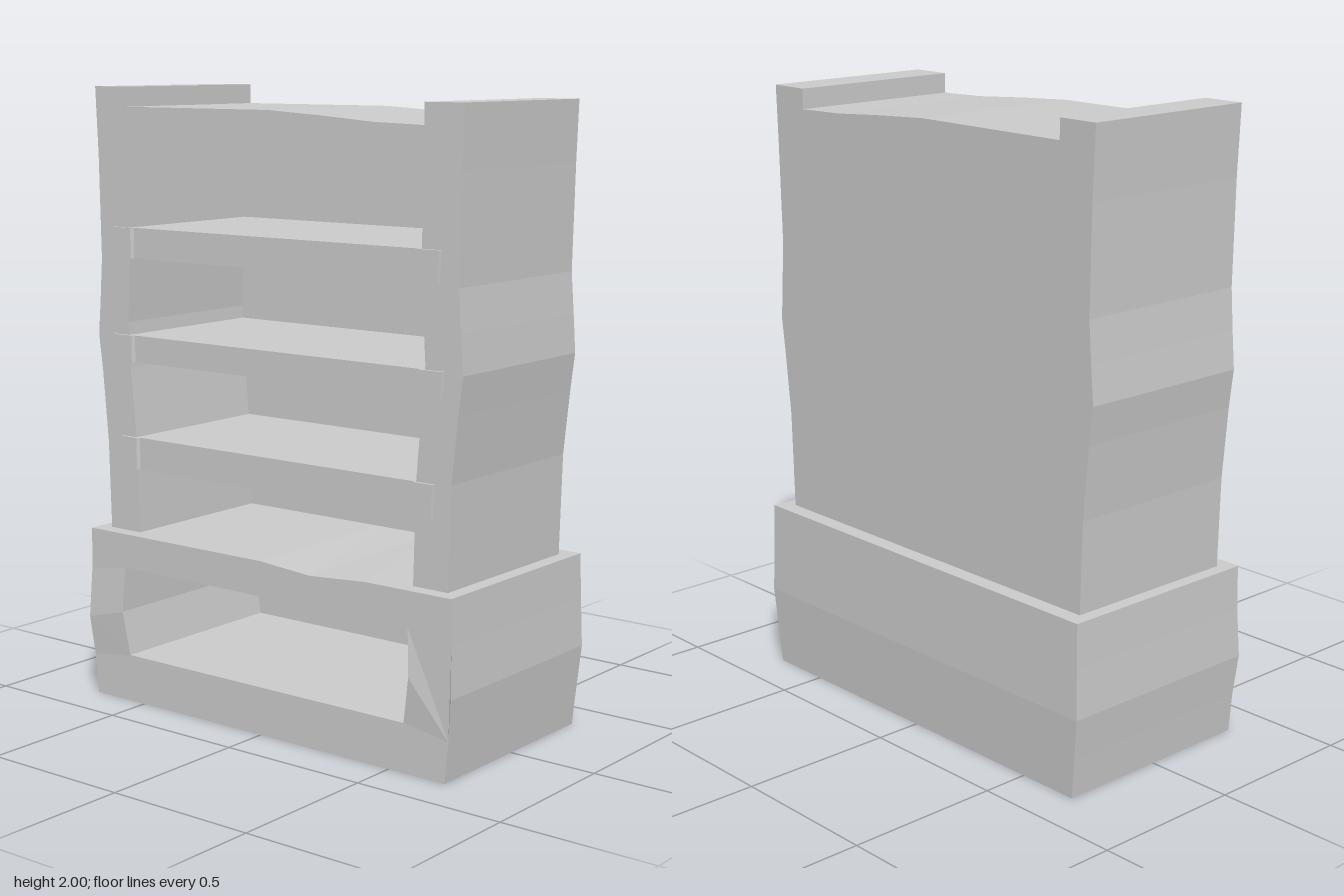
import * as THREE from 'three';

const wood = new THREE.MeshStandardMaterial({ color: 0xcccccc });
wood.name = 'plain grey';

const toPoints = (list) => list.map(([x, y]) => new THREE.Vector2(x, y));

// Extrudes an outline between two depths, with an optional hole
function extrude(outline, zBack, zFront, hole) {
  const shape = new THREE.Shape(toPoints(outline));
  if (hole) shape.holes.push(new THREE.Path(toPoints(hole)));
  const geo = new THREE.ExtrudeGeometry(shape, { depth: zFront - zBack, bevelEnabled: false });
  return geo.translate(0, 0, zBack);
}

// Moves every vertex by a rule and refreshes the flat normals
function warp(geo, rule) {
  const pos = geo.attributes.position;
  const v = new THREE.Vector3();
  for (let i = 0; i < pos.count; i++) {
    rule(v.fromBufferAttribute(pos, i));
    pos.setXYZ(i, v.x, v.y, v.z);
  }
  geo.computeVertexNormals();
  return geo;
}

export function createModel() {
  const group = new THREE.Group();
  const add = (name, geo) => {
    const mesh = new THREE.Mesh(geo, wood);
    mesh.name = name;
    group.add(mesh);
  };

  // Wavy base: side profile as [x, y], bottom to top
  const baseRight = [[0.705, 0], [0.717, 0.13], [0.73, 0.26], [0.725, 0.42], [0.722, 0.56]];
  const baseLeft = baseRight.map(([x, y]) => [-x - 0.003, y]).reverse();
  const dent = [[0.41, 0.56], [0.2, 0.545], [0, 0.56]];
  const opening = [
    [-0.56, 0.155], [-0.582, 0.3], [-0.575, 0.448], [0, 0.448], [0.2, 0.43],
    [0.4, 0.448], [0.568, 0.448], [0.578, 0.3], [0.555, 0.155],
  ];
  const shell = extrude([...baseRight, ...dent, ...baseLeft], -0.31, 0.35, opening);
  add('baseShell', warp(shell, (v) => {
    if (v.z > 0) {
      // Side posts swell forward at mid height
      if (Math.abs(v.x) > 0.5 && v.y > 0.2 && v.y < 0.4) v.z += 0.01;
    } else if (Math.abs(v.x) < 0.5) {
      // Dents fade out towards the back
      if (v.y > 0.5) v.y = 0.56;
      else if (v.y > 0.4) v.y = 0.448;
    }
  }));

  // Base back panel, bulging with the side profile
  const back = new THREE.BoxGeometry(2, 4, 1, 1, 4, 1).toNonIndexed();
  add('baseBack', warp(back, (v) => {
    const row = Math.round(v.y + 2);
    const [x, y] = baseRight[row];
    const bulge = [0, 0.005, 0.01, 0.006, 0.003][row];
    v.set(v.x < 0 ? -x - 0.003 : x, y, v.z > 0 ? -0.31 : -0.35 - bulge);
  }));

  // Upper cabinet silhouette with raised side posts
  const cabinetRight = [
    [0.675, 0.56], [0.684, 0.88], [0.705, 1.08], [0.72, 1.2], [0.712, 1.32],
    [0.702, 1.45], [0.71, 1.78], [0.717, 1.97],
  ];
  const lid = [[0.578, 1.97], [0.578, 1.905], [0.4, 1.91], [0.2, 1.925], [0, 1.937], [-0.582, 1.937], [-0.582, 2]];
  const cabinetLeft = [
    [-0.722, 2], [-0.712, 1.78], [-0.706, 1.45], [-0.715, 1.32], [-0.725, 1.2],
    [-0.71, 1.08], [-0.69, 0.85], [-0.682, 0.56],
  ];
  const inside = [
    [-0.555, 0.56], [-0.562, 0.85], [-0.585, 1.1], [-0.592, 1.25], [-0.578, 1.5],
    [-0.578, 1.81], [0, 1.81], [0.2, 1.795], [0.35, 1.785], [0.576, 1.777],
    [0.572, 1.5], [0.588, 1.22], [0.575, 1.08], [0.558, 0.87], [0.55, 0.56],
  ];
  const outline = [...cabinetRight, ...lid, ...cabinetLeft];
  add('cabinetFrame', extrude([...outline, ...inside], -0.26, 0.3));
  add('cabinetBack', extrude(outline, -0.3, -0.26));

  // Shelves, each with a small clip at both ends: [bottom, top, clip outer x, clip inner x]
  const shelves = [
    [0.77, 0.875, 0.623, 0.555],
    [1.122, 1.208, 0.653, 0.57],
    [1.457, 1.555, 0.64, 0.568],
  ];
  for (const [y0, y1, outer, inner] of shelves) {
    const w = inner + 0.03;
    add('shelf', extrude([[-w, y0], [w, y0], [w, y1], [-w, y1]], -0.27, 0.299));
    for (const side of [-1, 1]) {
      const clip = new THREE.BoxGeometry(outer - inner, y1 - y0, 0.02).toNonIndexed();
      clip.translate(side * (outer + inner) / 2, (y0 + y1) / 2, 0.3);
      // Clip narrows slightly at the front and top
      add('shelfClip', warp(clip, (v) => {
        if (Math.abs(v.x) > (outer + inner) / 2) {
          if (v.z < 0.3) v.x += side * 0.005;
          if (v.y < (y0 + y1) / 2) v.x -= side * 0.006;
        } else if (v.z < 0.3) v.x -= side * 0.01;
      }));
    }
  }
  return group;
}
